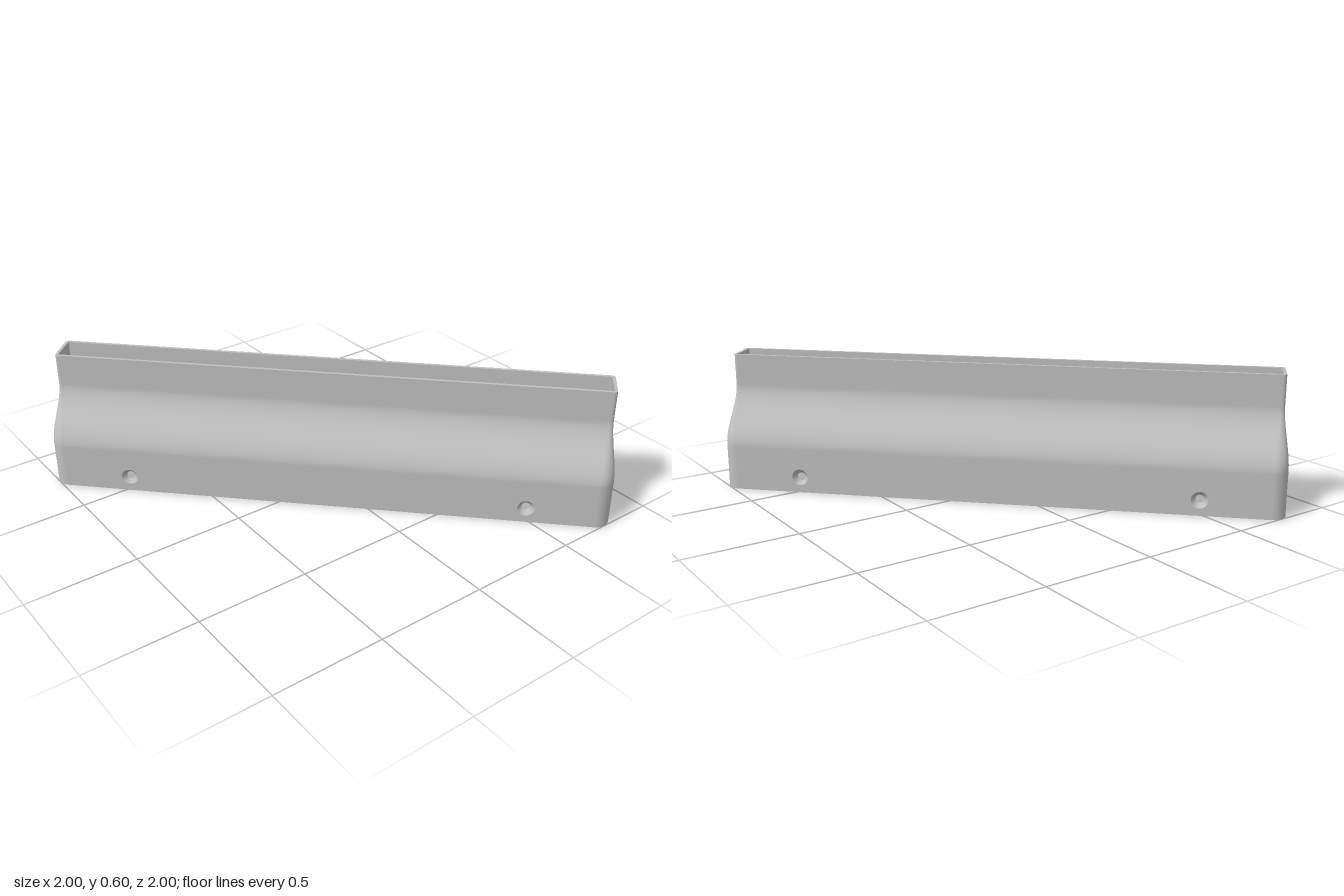
import * as THREE from 'three';

const HEIGHT = 0.6, BAND = 0.2, NECK = 0.46; // total, top of straight base, start of straight neck
const BASE = { l: 1.251, w: 0.201, r: 0.064, t: 0.02 }; // half length, half width, corner radius, wall
const TOP = { l: 1.225, w: 0.079, r: 0.016, t: 0.014 };
const ARC = 8, RING = 4 * (ARC + 1);
const HOLE_X = 0.889, HOLE_Y = 0.07, HOLE_OUT = 0.037, HOLE_IN = 0.018;

// Rounded-rectangle section at height y, for the outer or inner skin
function section(y, inner) {
  const s = THREE.MathUtils.smoothstep(y, BAND, NECK);
  const mix = k => THREE.MathUtils.lerp(BASE[k], TOP[k], s);
  const r = mix('r') - (inner ? mix('t') : 0);
  return { cu: mix('l') - mix('r'), cv: mix('w') - mix('r'), r };
}

// Points round a section, with the angle of each
function ringPoints({ cu, cv, r }) {
  const pts = [];
  for (let k = 0; k < 4; k++) for (let i = 0; i <= ARC; i++) {
    const a = (k + i / ARC) * Math.PI / 2;
    const x = (k === 0 || k === 3 ? cu : -cu) + r * Math.cos(a);
    const z = (k < 2 ? cv : -cv) + r * Math.sin(a);
    pts.push({ x, z, a });
  }
  return pts;
}

// Lofted wall; the lower long sides are left open for the drilled panels
function skin(inner) {
  const levels = [0, BAND];
  for (let i = 1; i <= 20; i++) levels.push(BAND + (NECK - BAND) * i / 20);
  levels.push(HEIGHT);
  const pos = [], nor = [], idx = [], n = new THREE.Vector3(), e = 1e-4, sign = inner ? -1 : 1;
  levels.forEach((y, l) => {
    const p = section(y - e, inner), q = section(y + e, inner);
    const d = k => (q[k] - p[k]) / (2 * e);
    for (const { x, z, a } of ringPoints(section(y, inner))) {
      const c = Math.cos(a), s = Math.sin(a);
      pos.push(x, y, z);
      n.set(c, -(d('cu') * Math.abs(c) + d('cv') * Math.abs(s) + d('r')), s).normalize().multiplyScalar(sign);
      nor.push(n.x, n.y, n.z);
    }
    if (l === levels.length - 1) return;
    for (let i = 0; i < RING; i++) {
      if (l === 0 && (i === ARC || i === 3 * ARC + 2)) continue;
      const j = (i + 1) % RING, a = l * RING + i, b = l * RING + j, c = a + RING, f = b + RING;
      if (inner) idx.push(a, b, c, b, f, c);
      else idx.push(a, c, b, b, c, f);
    }
  });
  const g = new THREE.BufferGeometry();
  g.setAttribute('position', new THREE.Float32BufferAttribute(pos, 3));
  g.setAttribute('normal', new THREE.Float32BufferAttribute(nor, 3));
  g.setIndex(idx);
  return g;
}

// Flat rim joining the outer and inner skins
function rim(y, up) {
  const outline = inner => ringPoints(section(y, inner)).map(p => new THREE.Vector2(p.x, p.z));
  const shape = new THREE.Shape(outline(false));
  shape.holes.push(new THREE.Path(outline(true)));
  return new THREE.ShapeGeometry(shape).rotateX(up ? -Math.PI / 2 : Math.PI / 2).translate(0, y, 0);
}

// Flat lower long side with two round holes
function panel(radius) {
  const half = BASE.l - BASE.r;
  const shape = new THREE.Shape();
  shape.moveTo(-half, 0).lineTo(half, 0).lineTo(half, BAND).lineTo(-half, BAND).closePath();
  for (const s of [-1, 1]) {
    shape.holes.push(new THREE.Path().absarc(s * HOLE_X, HOLE_Y, radius, 0, Math.PI * 2, true));
  }
  return new THREE.ShapeGeometry(shape, 16);
}

export function createModel() {
  const grey = new THREE.MeshStandardMaterial({ color: 0xbfbfbf, side: THREE.DoubleSide });
  grey.name = 'plain grey';
  const body = new THREE.Group();
  body.name = 'nozzleBody';
  const add = (name, geometry, parent = body) => {
    const mesh = new THREE.Mesh(geometry, grey);
    mesh.name = name;
    parent.add(mesh);
  };

  add('outerWall', skin(false));
  add('innerWall', skin(true));
  add('topRim', rim(HEIGHT, true));
  add('bottomRim', rim(0, false));

  // Drilled long sides with countersunk screw holes
  for (const turn of [0, Math.PI]) {
    const side = new THREE.Group();
    side.name = turn ? 'backScrewSide' : 'frontScrewSide';
    side.rotation.y = turn;
    add('outerPanel', panel(HOLE_OUT).translate(0, 0, BASE.w), side);
    add('innerPanel', panel(HOLE_IN).rotateY(Math.PI).translate(0, 0, BASE.w - BASE.t), side);
    for (const s of [-1, 1]) {
      add('countersink', new THREE.CylinderGeometry(HOLE_OUT, HOLE_IN, BASE.t, 32, 1, true)
        .rotateX(Math.PI / 2).translate(s * HOLE_X, HOLE_Y, BASE.w - BASE.t / 2), side);
    }
    body.add(side);
  }

  // The long axis lies on the diagonal
  body.rotation.y = -Math.PI / 4;
  const model = new THREE.Group();
  model.name = 'slotNozzle';
  model.add(body);
  return model;
}
